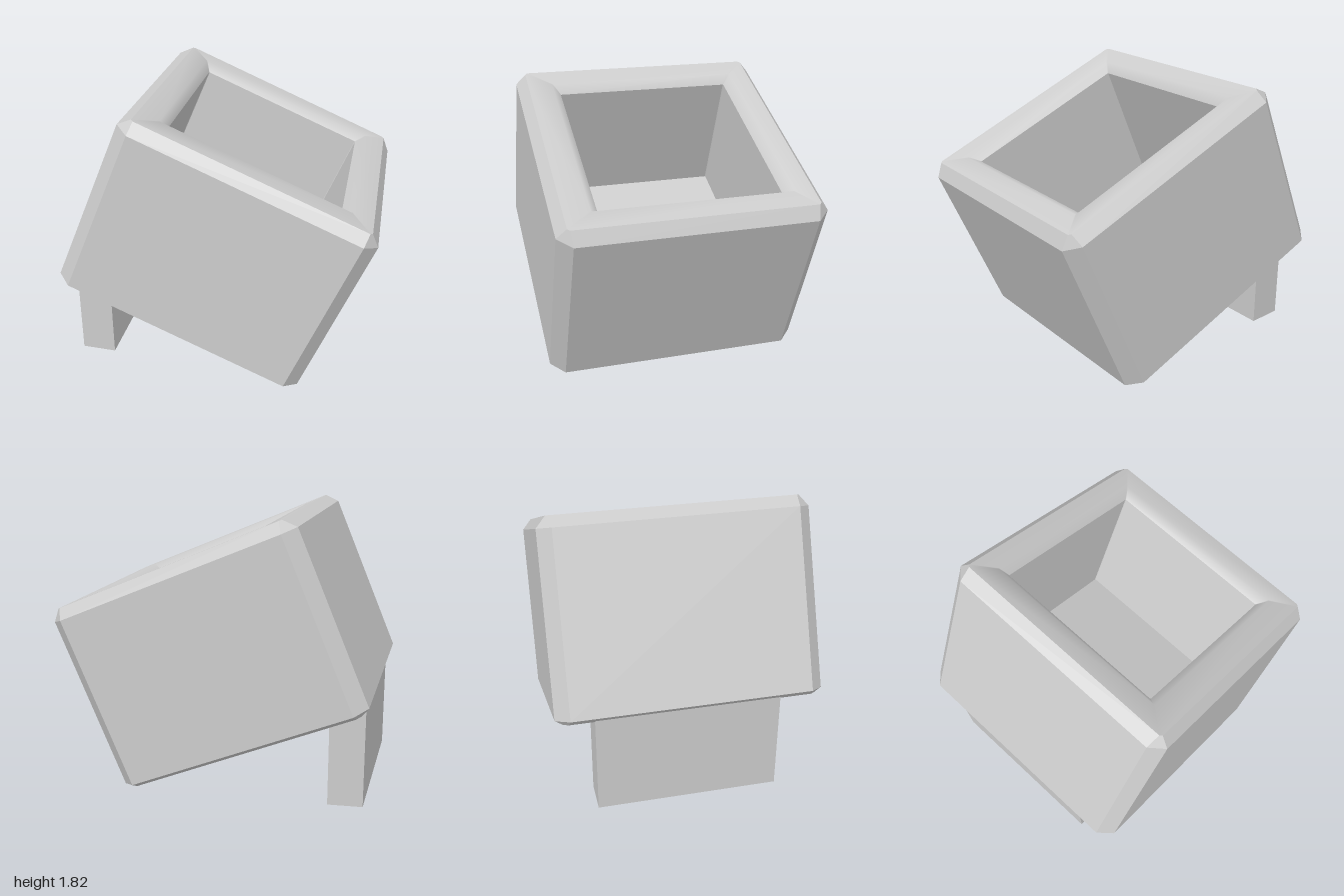
import * as THREE from 'three';

const material = new THREE.MeshStandardMaterial({ color: 0xcccccc });

// Rectangle loop with cut corners: half sizes, height, corner cut, z offset
function loop(hx, hz, y, cut = 0, dz = 0) {
  const a = hx - cut, b = hz - cut;
  return [[hx, -b], [hx, b], [a, hz], [-a, hz], [-hx, b], [-hx, -b], [-a, -hz], [a, -hz]]
    .map(([x, z]) => [x, y, z + dz]);
}

// Skin neighbouring loops; flat gives every facet its own normal
function loft(name, loops, flat) {
  const n = loops[0].length, index = [];
  for (let i = 0; i < loops.length - 1; i++) {
    for (let j = 0; j < n; j++) {
      const a = i * n + j, b = i * n + (j + 1) % n;
      index.push(a, a + n, b, b, a + n, b + n);
    }
  }
  let geo = new THREE.BufferGeometry();
  geo.setAttribute('position', new THREE.Float32BufferAttribute(loops.flat(2), 3));
  geo.setIndex(index);
  if (flat) geo = geo.toNonIndexed();
  geo.computeVertexNormals();
  const mesh = new THREE.Mesh(geo, material);
  mesh.name = name;
  return mesh;
}

export function createModel() {
  const model = new THREE.Group();
  model.name = 'tiltedBox';

  // Open box, built upright and then tipped to its right
  const box = new THREE.Group();
  box.name = 'openBox';
  const hx = 0.85, hz = 0.847, dz = -0.018;
  const rimOuter = loop(hx - 0.07, hz - 0.062, 1.493, 0.015);
  const rimInner = loop(0.586, 0.588, 1.436, 0.004, dz);

  // Outer shell with chamfered edges
  box.add(loft('outerShell', [
    loop(0, 0, 0.24),
    loop(hx - 0.06, hz - 0.05, 0.24, 0.03),
    loop(hx, hz, 0.27, 0.088),
    loop(hx, hz, 1.42, 0.088),
    rimOuter,
  ], true));

  // Softly rounded rim
  box.add(loft('rim', [rimOuter, loop(0.64, 0.64, 1.49, 0.006, dz), rimInner], false));

  // Inner walls and floor
  box.add(loft('cavity', [
    rimInner,
    loop(0.586, 0.588, 0.57, 0.004, dz),
    loop(0, 0, 0.57, 0, dz),
  ], true));

  box.children.forEach((part) => { part.position.x = -0.358; });
  box.rotation.z = -0.4;
  model.add(box);

  // Supporting slab under the raised end
  const profile = new THREE.Shape([
    [-0.975, 0.01], [-0.75, 0], [-0.75, 0.6], [-0.975, 0.69],
  ].map(([x, y]) => new THREE.Vector2(x, y)));
  const slab = new THREE.Mesh(
    new THREE.ExtrudeGeometry(profile, { depth: 1.17, bevelEnabled: false }), material);
  slab.name = 'supportSlab';
  slab.position.z = -0.61;
  model.add(slab);

  return model;
}
